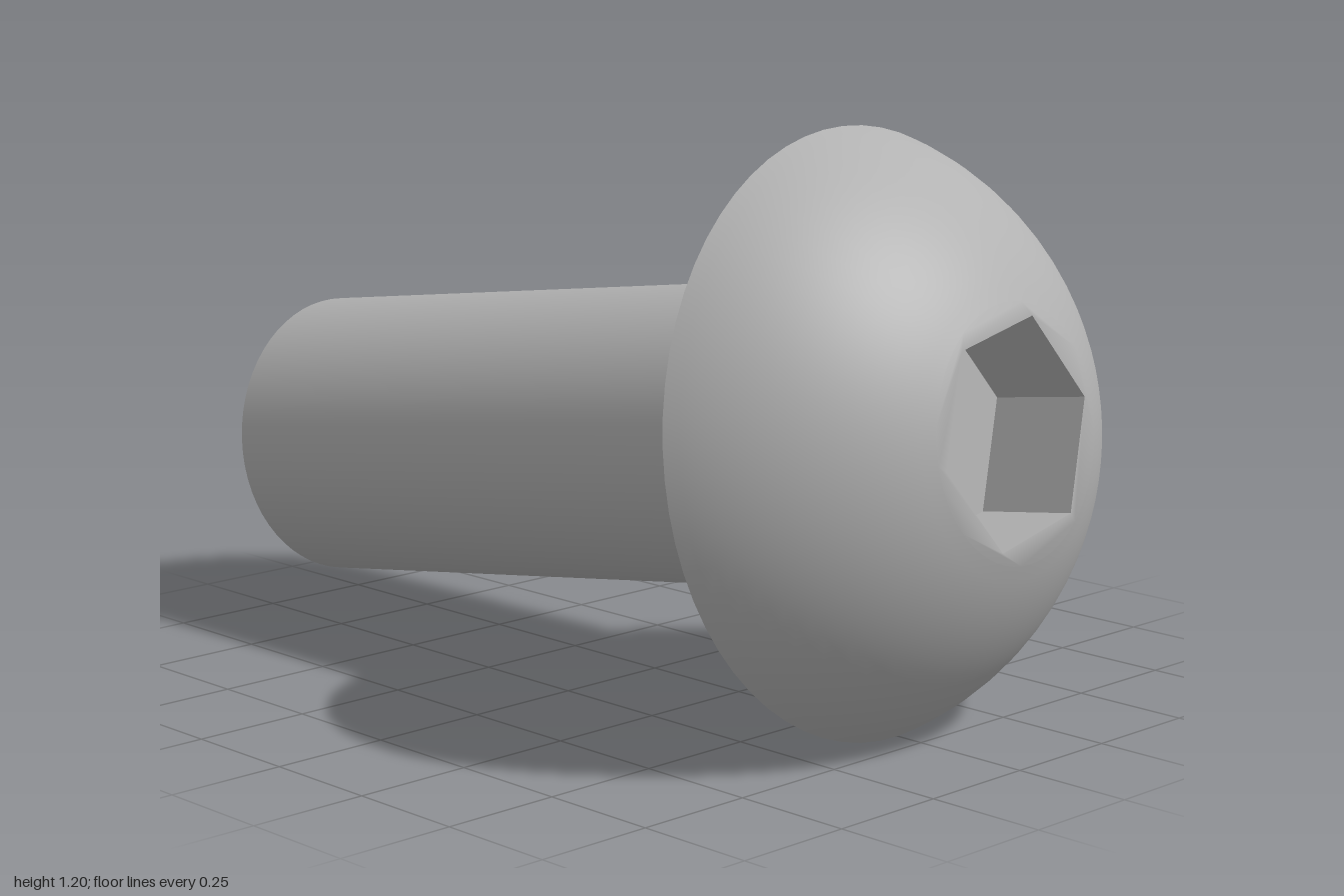
import * as THREE from 'three';

const SEGMENTS = 64;
const RIM = 0.603, TOP_R = 0.25, HEAD_H = 0.354;   // head
const SHANK_R = 0.307, TIP_R = 0.24, FILLET = 0.025; // shank
const SHANK_END = -1.535, TIP_END = -1.592;
const HEX_R = 0.229, HEX_DEPTH = 0.21, HEX_TURN = THREE.MathUtils.degToRad(10);

export function createModel() {
  const steel = new THREE.MeshStandardMaterial({ color: 0xb2b2b2 });
  steel.name = 'grey steel';
  const bolt = new THREE.Group();
  bolt.name = 'bolt';

  const add = (name, geometry) => {
    const mesh = new THREE.Mesh(geometry, steel);
    mesh.name = name;
    bolt.add(mesh);
  };
  // Turned profile [radius, position along axis], with the axis laid along z
  const turn = (profile, segments = SEGMENTS, start = 0) =>
    new THREE.LatheGeometry(profile.map(([r, a]) => new THREE.Vector2(r, a)), segments, start).rotateX(Math.PI / 2);

  // Domed head: spherical arc from rim to the small flat top
  const centre = (TOP_R ** 2 + HEAD_H ** 2 - RIM ** 2) / (2 * HEAD_H);
  const radius = Math.hypot(RIM, centre);
  const a0 = Math.atan2(-centre, RIM), a1 = Math.atan2(HEAD_H - centre, TOP_R);
  const dome = [];
  for (let i = 0; i <= 16; i++) {
    const a = a0 + (a1 - a0) * i / 16;
    dome.push([radius * Math.cos(a), centre + radius * Math.sin(a)]);
  }
  add('headDome', turn(dome));

  // Flat top with hexagonal opening, its outer normals blended into the dome
  const face = new THREE.Shape().absarc(0, 0, TOP_R, 0, Math.PI * 2);
  const hex = [];
  for (let i = 0; i < 6; i++) {
    const a = HEX_TURN + i * Math.PI / 3;
    hex.push(new THREE.Vector2(HEX_R * Math.cos(a), HEX_R * Math.sin(a)));
  }
  face.holes.push(new THREE.Path(hex));
  const top = new THREE.ShapeGeometry(face, SEGMENTS / 2).translate(0, 0, HEAD_H);
  const p = top.attributes.position;
  for (let i = 0; i < p.count; i++) {
    const n = new THREE.Vector3(p.getX(i), p.getY(i), 0);
    if (n.length() < (TOP_R + HEX_R) / 2) continue;
    n.setLength(Math.cos(a1)).setZ(Math.sin(a1));
    top.attributes.normal.setXYZ(i, n.x, n.y, n.z);
  }
  add('headTop', top);

  // Hexagonal socket: inward walls and floor, flat faced
  const socket = turn([[HEX_R, HEAD_H], [HEX_R, HEAD_H - HEX_DEPTH], [0, HEAD_H - HEX_DEPTH]],
    6, Math.PI / 2 + HEX_TURN).toNonIndexed();
  socket.computeVertexNormals();
  add('hexSocket', socket);

  // Underside of the head
  add('headUnderside', turn([[SHANK_R + FILLET, 0], [RIM, 0]]));

  // Shank with a small fillet under the head
  const shank = [[SHANK_R, SHANK_END], [SHANK_R, -FILLET * 1.5]];
  for (let i = 0; i <= 5; i++) {
    const a = i / 5 * Math.PI / 2;
    shank.push([SHANK_R + FILLET * (1 - Math.cos(a)), FILLET * (Math.sin(a) - 1)]);
  }
  add('shank', turn(shank));

  // Chamfered tip
  add('tipChamfer', turn([[TIP_R, TIP_END], [SHANK_R, SHANK_END]]));
  add('tipFace', turn([[0, TIP_END], [TIP_R, TIP_END]]));

  // Tilt the axis slightly and place the head's rim
  bolt.quaternion.setFromUnitVectors(new THREE.Vector3(0, 0, 1), new THREE.Vector3(0.066, 0.136, 1).normalize());
  bolt.position.set(0, 0.6, 0.608);

  const model = new THREE.Group();
  model.name = 'buttonHeadBolt';
  model.add(bolt);
  return model;
}
